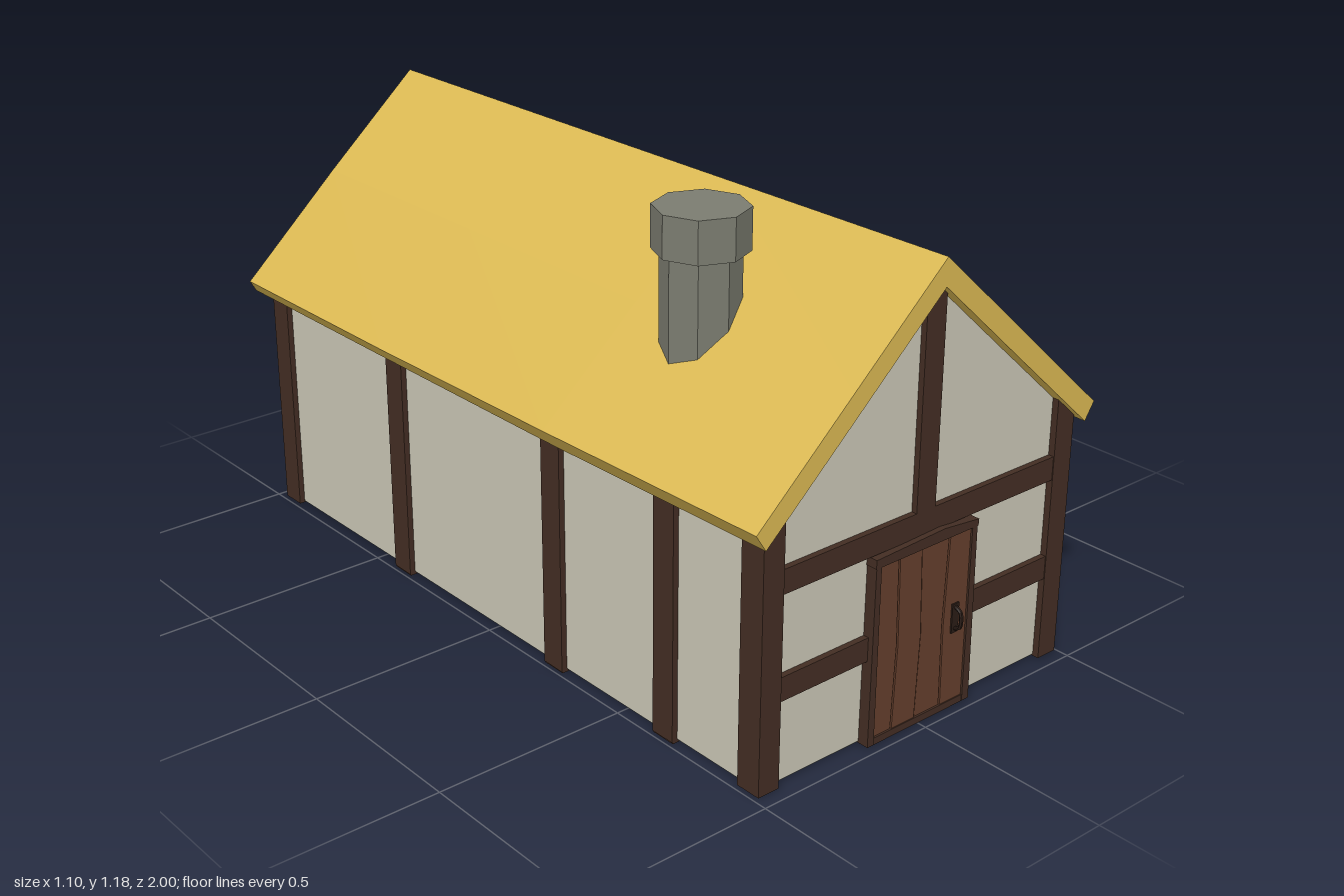
import * as THREE from 'three';

const mat = (color, extra = {}) => new THREE.MeshStandardMaterial({ color, flatShading: true, ...extra });

export function createModel() {
  const house = new THREE.Group();
  house.name = 'house';
  const plaster = mat(0xcbc7b6), timber = mat(0x432d23), wood = mat(0x653f2c);
  const thatch = mat(0xdbb953), stone = mat(0x7b7c70), dark = mat(0x0d0d0d), iron = mat(0x2a1c16);

  const add = (name, geometry, material) => {
    const m = new THREE.Mesh(geometry, material);
    m.name = name;
    house.add(m);
    return m;
  };
  // box given by its extents on each axis
  const block = (name, [x0, x1], [y0, y1], [z0, z1], material = timber) => {
    const m = add(name, new THREE.BoxGeometry(x1 - x0, y1 - y0, z1 - z0), material);
    m.position.set((x0 + x1) / 2, (y0 + y1) / 2, (z0 + z1) / 2);
    return m;
  };
  // outline in the front plane, pushed from z0 to z1
  const slab = (name, points, z0, z1, material) => {
    const shape = new THREE.Shape(points.map(p => new THREE.Vector2(...p)));
    const m = add(name, new THREE.ExtrudeGeometry(shape, { depth: z1 - z0, bevelEnabled: false }), material);
    m.position.z = z0;
    return m;
  };

  // walls with gables, and the stone floor
  slab('walls', [[-0.475, 0.01], [0.475, 0.01], [0.475, 0.67], [0, 1.085], [-0.475, 0.67]], -0.95, 0.95, plaster);
  block('floor', [-0.474, 0.474], [0.007, 0.02], [-0.949, 0.949], stone);

  // side posts, each intermediate pair joined by a sill under the floor
  const bays = [0.933, 0.648, 0.245, -0.395, -0.937];
  bays.forEach((z, i) => {
    const span = [z - 0.034, z + 0.034];
    for (const s of [-1, 1]) {
      block('post', s < 0 ? [-0.49, -0.43] : [0.43, 0.49], [0.004, 0.69], span);
    }
    if (i > 0 && i < 4) block('sill', [-0.488, 0.488], [0, 0.03], span);
  });
  block('backSill', [-0.03, 0.03], [0, 0.03], [-0.968, -0.395]);

  // front framing
  const front = [0.93, 0.965], back = [-0.966, -0.93];
  block('frontBeam', [-0.44, 0.44], [0.48, 0.54], front);
  block('frontKingPost', [-0.03, 0.03], [0.53, 1.075], front);
  block('frontRail', [-0.44, -0.15], [0.22, 0.28], front);
  block('frontRail', [0.15, 0.44], [0.22, 0.28], front);

  // back framing with two diagonal braces
  block('backBeam', [-0.44, 0.44], [0.48, 0.54], back);
  block('backKingPost', [-0.03, 0.03], [0.002, 1.075], [-0.969, -0.93]);
  for (const s of [-1, 1]) {
    const dx = 0.43, dy = -0.475;
    const brace = add('backBrace', new THREE.BoxGeometry(Math.hypot(dx, dy), 0.055, 0.033), timber);
    brace.position.set(s * (0.01 + dx / 2), 0.505 + dy / 2, -0.9465);
    brace.rotation.z = s * Math.atan2(dy, dx);
  }

  // door: four uneven planks in a crooked frame
  const seams = [[-0.15, -0.15, -0.15], [-0.088, -0.08, -0.086], [-0.012, -0.004, -0.014], [0.072, 0.068, 0.076], [0.146, 0.146, 0.146]];
  const heights = [0.02, 0.23, 0.458];
  for (let i = 0; i < 4; i++) {
    const left = seams[i].map((x, k) => [x + 0.0015, heights[k]]);
    const right = seams[i + 1].map((x, k) => [x - 0.0015, heights[k]]);
    slab('doorPlank', [left[0], ...right, left[2], left[1]], 0.94, 0.972 + (i % 2) * 0.002, wood);
  }
  block('doorBacking', [-0.15, 0.146], [0.004, 0.458], [0.94, 0.968], iron);
  slab('doorJamb', [[-0.168, 0.004], [-0.148, 0.004], [-0.148, 0.46], [-0.164, 0.47]], 0.94, 0.979, timber);
  slab('doorJamb', [[0.144, 0.004], [0.166, 0.004], [0.16, 0.47], [0.144, 0.46]], 0.94, 0.979, timber);
  slab('doorLintel', [[-0.166, 0.455], [0.162, 0.455], [0.163, 0.472], [0.05, 0.484], [-0.166, 0.477]], 0.94, 0.98, timber);
  block('doorSill', [-0.155, 0.15], [0.002, 0.02], [0.94, 0.977]);

  // door handle
  block('handlePlate', [0.094, 0.116], [0.2, 0.275], [0.968, 0.978], iron);
  const grip = new THREE.CatmullRomCurve3([[0.21, 0.974], [0.216, 0.991], [0.238, 0.996], [0.26, 0.991], [0.266, 0.974]]
    .map(([y, z]) => new THREE.Vector3(0.105, y, z)));
  add('handle', new THREE.TubeGeometry(grip, 8, 0.005, 6), iron);

  // window on the left wall
  block('windowPane', [0.45, 0.478], [0.25, 0.48], [0.315, 0.58], dark);
  const frameX = [0.46, 0.487];
  block('windowFrame', frameX, [0.225, 0.26], [0.275, 0.615]);
  block('windowFrame', frameX, [0.47, 0.505], [0.275, 0.615]);
  block('windowFrame', frameX, [0.25, 0.48], [0.275, 0.325]);
  block('windowFrame', frameX, [0.25, 0.48], [0.57, 0.615]);

  add('roof', roofGeometry(), thatch);

  // chimney
  const shaft = add('chimneyShaft', new THREE.CylinderGeometry(0.093, 0.093, 0.35, 8), stone);
  shaft.position.set(-0.257, 0.915, 0.5);
  const cap = add('chimneyCap', new THREE.CylinderGeometry(0.112, 0.112, 0.102, 8), stone);
  cap.position.set(-0.257, 1.132, 0.5);

  return house;
}

// thatched roof: a folded slab lofted through slightly uneven sections
function roofGeometry() {
  // z of the lower face, z of the upper face, half width, sag of the mid slope, eave height
  const sections = [
    [0.988, 0.988, 0.533, 0.0, 0.66],
    [0.3, 0.3, 0.55, 0.006, 0.66],
    [-0.35, -0.35, 0.552, 0.012, 0.655],
    [-1, -0.98, 0.552, 0.014, 0.655],
  ].map(([zi, zo, w, bulge, eave]) => {
    const mid = (1.138 + eave) / 2 + bulge;
    const outer = [[-w, eave, zo], [-w / 2, mid, zo], [0, 1.138, zi], [w / 2, mid, zo], [w, eave, zo]];
    const v = w - 0.028;
    const inner = [[-v, 0.617, zi], [-v / 2, 0.843, zi], [0, 1.07, zi], [v / 2, 0.843, zi], [v, 0.617, zi]];
    return { outer, inner, ring: [...outer, ...inner.slice().reverse()] };
  });
  const pos = [];
  const quad = (a, b, c, d) => pos.push(...a, ...b, ...c, ...a, ...c, ...d);
  for (let k = 0; k < sections.length - 1; k++) {
    const p = sections[k].ring, q = sections[k + 1].ring;
    for (let i = 0; i < p.length; i++) {
      const j = (i + 1) % p.length;
      quad(p[i], p[j], q[j], q[i]);
    }
  }
  const f = sections[0], b = sections[sections.length - 1];
  for (let i = 0; i < 4; i++) {
    quad(f.outer[i], f.inner[i], f.inner[i + 1], f.outer[i + 1]);
    quad(b.outer[i], b.outer[i + 1], b.inner[i + 1], b.inner[i]);
  }
  const g = new THREE.BufferGeometry();
  g.setAttribute('position', new THREE.Float32BufferAttribute(pos, 3));
  g.computeVertexNormals();
  return g;
}
